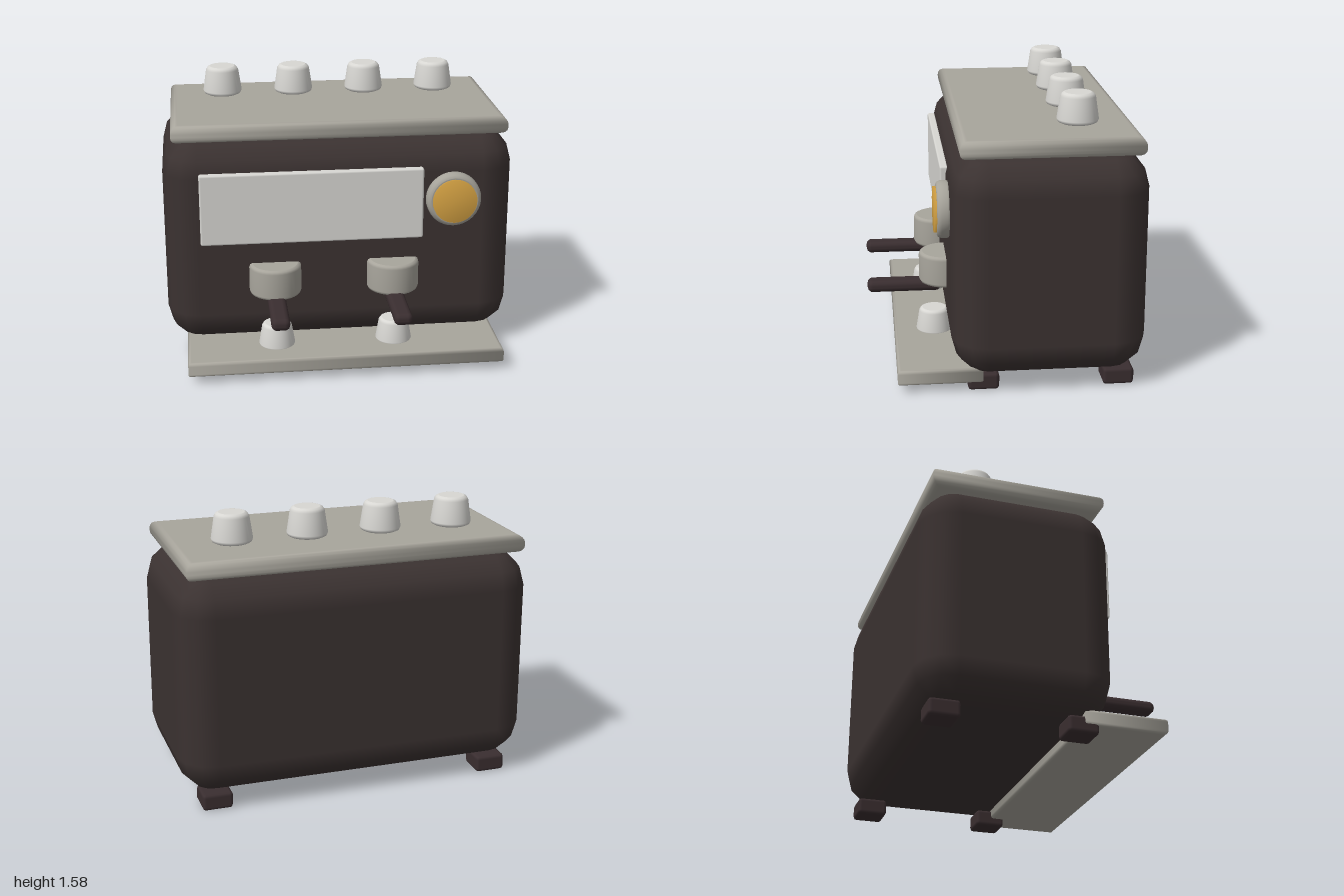
import * as THREE from 'three';
import { ConvexGeometry } from 'three/addons/geometries/ConvexGeometry.js';

const mat = (name, color) => new THREE.MeshStandardMaterial({ name, color });

// Box between two corners with edges rounded by r; mitred keeps the plan corners square.
function roundedBox(min, max, r, n = 3, mitred = false) {
  const lo = new THREE.Vector3(...min).addScalar(r);
  const hi = new THREE.Vector3(...max).addScalar(-r);
  const points = [];
  for (const sx of [-1, 1]) for (const sy of [-1, 1]) for (const sz of [-1, 1]) {
    for (let i = 0; i <= n; i++) {
      const a = (i / n) * Math.PI / 2;
      const last = mitred || i === n ? 0 : n;
      for (let j = 0; j <= last; j++) {
        const b = (j / n) * Math.PI / 2;
        const dx = Math.cos(a) * (mitred ? 1 : Math.cos(b));
        const dz = Math.cos(a) * (mitred ? 1 : Math.sin(b));
        points.push(new THREE.Vector3(
          (sx > 0 ? hi.x : lo.x) + sx * r * dx,
          (sy > 0 ? hi.y : lo.y) + sy * r * Math.sin(a),
          (sz > 0 ? hi.z : lo.z) + sz * r * dz));
      }
    }
  }
  const geo = new ConvexGeometry(points);
  // Smooth normals point away from the inner box
  const pos = geo.attributes.position, nor = geo.attributes.normal;
  const p = new THREE.Vector3(), q = new THREE.Vector3();
  for (let i = 0; i < pos.count; i++) {
    p.fromBufferAttribute(pos, i);
    q.copy(p).clamp(lo, hi);
    p.sub(q).normalize();
    nor.setXYZ(i, p.x, p.y, p.z);
  }
  return geo;
}

const lathe = (pts, segments = 32) =>
  new THREE.LatheGeometry(pts.map(([x, y]) => new THREE.Vector2(x, y)), segments);

// Round part with softened rims, standing on y = 0
function softCone(rBottom, rTop, h, e) {
  return lathe([
    [0, 0], [rBottom - e, 0], [rBottom - e * 0.9, 0], [rBottom - e * 0.3, e * 0.3], [rBottom, e],
    [rTop + (rBottom - rTop) * e / h, h - e], [rTop - e * 0.3, h - e * 0.3],
    [rTop - e * 0.9, h], [rTop - e, h], [0, h],
  ]);
}

export function createModel() {
  const model = new THREE.Group();
  const dark = mat('dark brown body', 0x3b3231);
  const handleDark = mat('dark handle', 0x3a2e30);
  const grey = mat('warm grey metal', 0xa8a59c);
  const light = mat('light metal', 0xd8d7d3);
  const gold = mat('gold', 0xdaa645);

  const add = (name, geo, material, x = 0, y = 0, z = 0) => {
    const mesh = new THREE.Mesh(geo, material);
    mesh.name = name;
    mesh.position.set(x, y, z);
    model.add(mesh);
    return mesh;
  };

  // Housing, warming shelf and drip tray
  add('body', roundedBox([-1, 0.09, -0.75], [1, 1.3, 0.305], 0.195), dark);
  add('topShelf', roundedBox([-0.945, 1.3, -0.705], [0.945, 1.4, 0.262], 0.042, 4, true), grey);
  add('dripTray', roundedBox([-0.895, 0.045, 0.14], [0.895, 0.13, 0.6], 0.018, 3, true), grey);

  // Feet
  for (const side of [-1, 1]) for (const z of [0.137, -0.6]) {
    add('foot', roundedBox([-0.085, 0, -0.085], [0.085, 0.095, 0.085], 0.02, 2),
      handleDark, side * 0.805, 0, z);
  }

  // Cups on the top shelf
  const topCup = softCone(0.113, 0.092, 0.165, 0.022);
  for (let i = 0; i < 4; i++) add('topCup', topCup, light, -0.635 + i * 0.42, 1.415, -0.39);

  // Front panel
  add('frontPanel', roundedBox([-0.8, 0.725, 0.29], [0.46, 1.14, 0.338], 0.012, 2), light);

  // Gauge
  const bezel = add('gaugeBezel', softCone(0.156, 0.156, 0.08, 0.024), grey, 0.63, 0.953, 0.29);
  const dial = add('gaugeDial', lathe([[0.126, 0], [0.126, 0.03], [0, 0.03]]), gold, 0.63, 0.953, 0.355);
  bezel.rotation.x = dial.rotation.x = Math.PI / 2;

  // Brew stations: head, handle and cup below
  const head = softCone(0.148, 0.148, 0.18, 0.02);
  const handle = roundedBox([-0.052, 0.369, 0.33], [0.052, 0.438, 0.747], 0.03, 3);
  const cup = softCone(0.103, 0.083, 0.14, 0.018);
  for (const x of [-0.383, 0.291]) {
    add('brewHead', head, grey, x, 0.42, 0.305);
    add('brewHandle', handle, handleDark, x);
    add('trayCup', cup, light, x, 0.117, 0.37);
  }
  return model;
}
